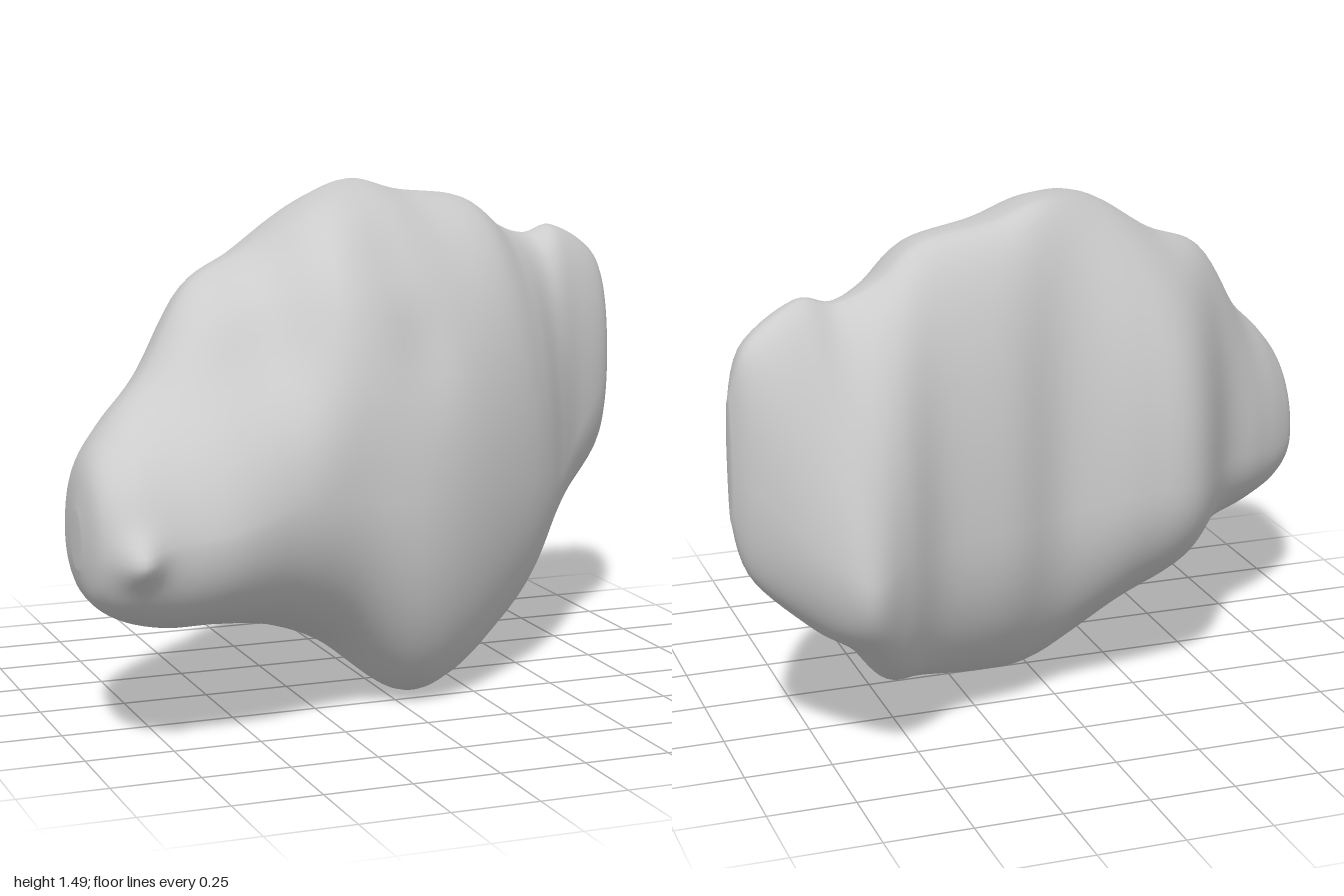
import * as THREE from 'three';

// Cross-sections along x:
// x, top y, top z, front z, side y, bottom y, bottom z, back z, front fullness, back fullness
const SECTIONS = [
  [-1.00, 0.67, 0.45, 0.50, 0.59, 0.52, 0.45, 0.40, 2.0, 2.0],
  [-0.97, 0.80, 0.42, 0.61, 0.58, 0.43, 0.45, 0.22, 2.0, 2.0],
  [-0.89, 0.90, 0.37, 0.67, 0.57, 0.37, 0.44, 0.11, 1.8, 2.0],
  [-0.76, 1.02, 0.29, 0.67, 0.59, 0.33, 0.40, 0.00, 1.6, 2.0],
  [-0.60, 1.23, 0.16, 0.67, 0.61, 0.31, 0.31, -0.12, 1.5, 2.1],
  [-0.40, 1.32, 0.06, 0.61, 0.65, 0.26, 0.18, -0.40, 1.7, 2.1],
  [-0.20, 1.44, 0.00, 0.55, 0.66, 0.17, 0.12, -0.44, 2.2, 2.2],
  [0.02, 1.49, -0.19, 0.51, 0.62, 0.01, 0.14, -0.41, 2.0, 2.2],
  [0.20, 1.45, -0.25, 0.42, 0.62, 0.02, 0.08, -0.49, 2.0, 2.1],
  [0.42, 1.42, -0.30, 0.25, 0.62, 0.10, -0.12, -0.55, 2.0, 1.95],
  [0.56, 1.33, -0.35, 0.11, 0.61, 0.17, -0.28, -0.66, 2.0, 1.7],
  [0.68, 1.29, -0.38, -0.05, 0.58, 0.32, -0.39, -0.73, 2.0, 1.45],
  [0.79, 1.31, -0.40, -0.18, 0.66, 0.40, -0.44, -0.665, 2.1, 1.6],
  [0.95, 1.22, -0.46, -0.31, 0.84, 0.56, -0.45, -0.55, 2.2, 2.2],
  [1.00, 1.07, -0.46, -0.43, 0.90, 0.73, -0.45, -0.48, 2.0, 2.0],
];
// Local dents and knobs: x, y, z, radius, push along z
const BUMPS = [
  [-0.89, 0.57, 0.67, 0.06, 0.06], // front tip
  [-0.60, 0.98, 0.45, 0.16, -0.035], // hollow above the front ledge
  [-0.40, 1.05, 0.42, 0.16, -0.035],
  [-0.11, 1.25, 0.23, 0.10, -0.025], // slanting groove on the front
  [0.00, 1.03, 0.36, 0.12, -0.025],
];
const RINGS = 90, SIDES = 72;

// Smooth blend of the section table, t from 0 to 1
function sectionAt(t) {
  const last = SECTIONS.length - 1;
  const i = Math.min(Math.floor(t * last), last - 1), f = t * last - i;
  const row = n => SECTIONS[Math.max(0, Math.min(last, n))];
  return SECTIONS[0].map((_, c) => {
    const [a, b, d, e] = [row(i - 1)[c], row(i)[c], row(i + 1)[c], row(i + 2)[c]];
    return b + 0.5 * f * (d - a + f * (2 * a - 5 * b + 4 * d - e + f * (3 * (b - d) + e - a)));
  });
}

// A point on a section: top, front, bottom, back, with a rounded quarter between each
function sectionPoint(s, angle) {
  const [x, topY, topZ, frontZ, sideY, botY, botZ, backZ, frontFull, backFull] = s;
  const c = Math.cos(angle), n = Math.sin(angle);
  const upper = c >= 0, front = n >= 0;
  const power = 2 / (!upper ? 2.1 : front ? frontFull : backFull);
  const midZ = upper ? topZ : botZ, sideZ = front ? frontZ : backZ;
  const y = sideY + ((upper ? topY : botY) - sideY) * Math.abs(c) ** power;
  const z = midZ + (sideZ - midZ) * Math.abs(n) ** power;
  const push = BUMPS.reduce((sum, [bx, by, bz, radius, amount]) => {
    const d2 = (x - bx) ** 2 + (y - by) ** 2 + (z - bz) ** 2;
    return sum + amount * Math.exp(-d2 / radius ** 2);
  }, 0);
  return [x, y, z + push];
}

function boulderGeometry() {
  const pos = [], index = [];
  for (let r = 0; r <= RINGS; r++) {
    const s = sectionAt(r / RINGS);
    for (let k = 0; k < SIDES; k++) pos.push(...sectionPoint(s, (k / SIDES) * Math.PI * 2));
  }
  for (let r = 0; r < RINGS; r++) {
    for (let k = 0; k < SIDES; k++) {
      const a = r * SIDES + k, b = r * SIDES + (k + 1) % SIDES;
      index.push(a, b, a + SIDES, b, b + SIDES, a + SIDES);
    }
  }
  // Close both ends
  for (const r of [0, RINGS]) {
    const s = sectionAt(r / RINGS), pole = pos.length / 3;
    pos.push(s[0], (s[1] + s[5]) / 2, (s[3] + s[7]) / 2);
    for (let k = 0; k < SIDES; k++) {
      const a = r * SIDES + k, b = r * SIDES + (k + 1) % SIDES;
      if (r === 0) index.push(pole, b, a);
      else index.push(pole, a, b);
    }
  }
  const g = new THREE.BufferGeometry();
  g.setAttribute('position', new THREE.Float32BufferAttribute(pos, 3));
  g.setIndex(index);
  g.computeVertexNormals();
  return g;
}

export function createModel() {
  const group = new THREE.Group();
  group.name = 'rock';
  const boulder = new THREE.Mesh(boulderGeometry(), new THREE.MeshStandardMaterial({ color: 0xcccccc }));
  boulder.name = 'boulder';
  group.add(boulder);
  return group;
}
